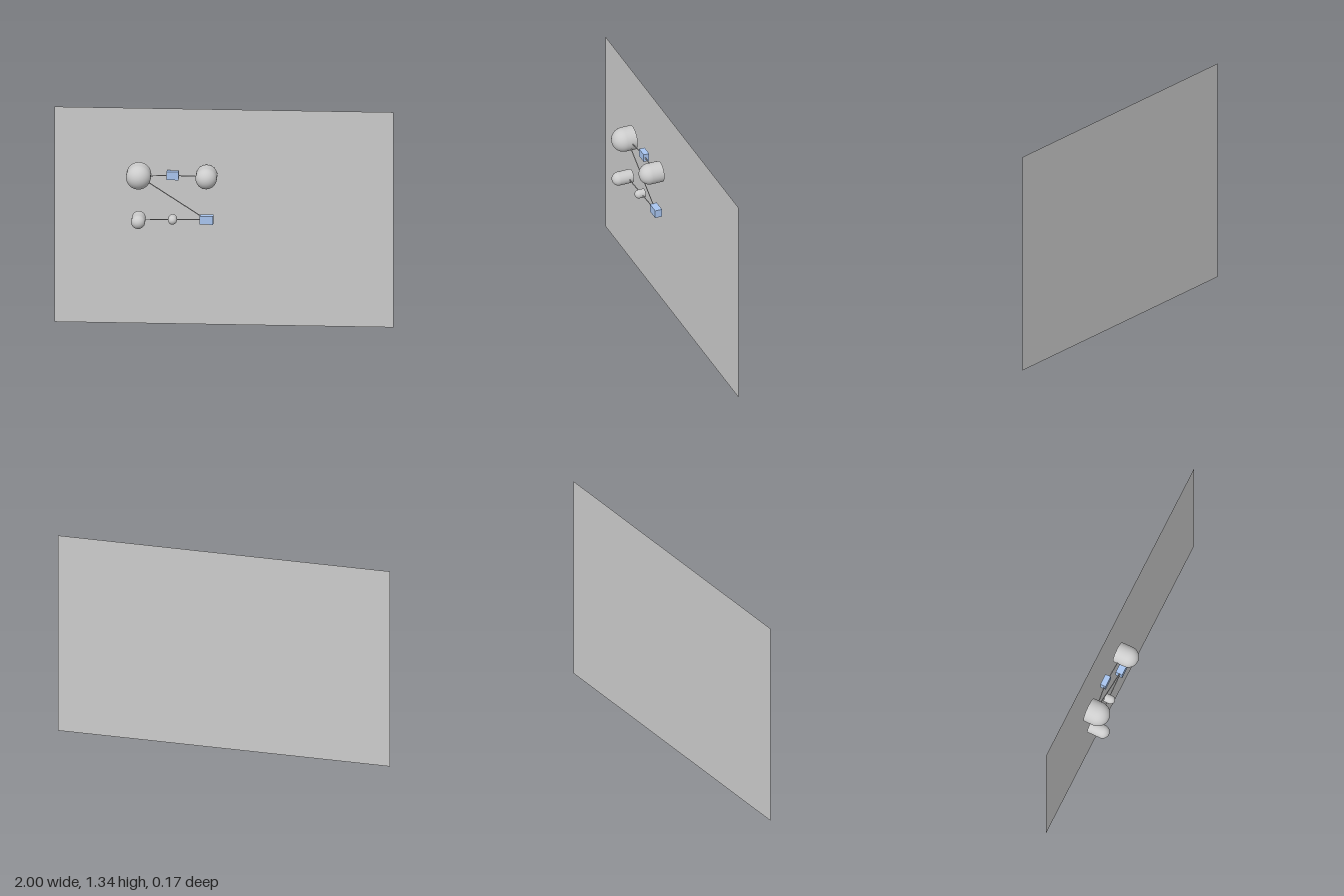
import * as THREE from 'three';

const grey = new THREE.MeshStandardMaterial({ color: 0xcccccc });
const blue = new THREE.MeshStandardMaterial({ color: 0xa9c6f0 });
const sheet = new THREE.MeshStandardMaterial({ color: 0xcccccc, side: THREE.DoubleSide });

// Round-nosed peg pointing forward, flat at the back
function peg(name, x, y, r, back, front) {
  const profile = [new THREE.Vector2(0, back), new THREE.Vector2(r, back)];
  for (let i = 0; i <= 16; i++) {
    const a = (i / 16) * Math.PI / 2;
    profile.push(new THREE.Vector2(i === 16 ? 0 : r * Math.cos(a), front - r + r * Math.sin(a)));
  }
  // Separate cap and body keep the rear rim sharp
  const group = new THREE.Group();
  group.name = name;
  for (const pts of [profile.slice(0, 2), profile.slice(1)]) {
    const mesh = new THREE.Mesh(new THREE.LatheGeometry(pts, 40), grey);
    mesh.name = pts.length === 2 ? 'pegBack' : 'pegBody';
    mesh.rotation.x = Math.PI / 2;
    group.add(mesh);
  }
  group.position.set(x, y, 0);
  return group;
}

// Small blue block
function block(name, x, y, w, h, back, front) {
  const mesh = new THREE.Mesh(new THREE.BoxGeometry(w, h, front - back), blue);
  mesh.name = name;
  mesh.position.set(x, y, (back + front) / 2);
  return mesh;
}

// Thin straight rod between two points
function rod(a, b) {
  const dir = b.clone().sub(a);
  const mesh = new THREE.Mesh(new THREE.CylinderGeometry(0.003, 0.003, dir.length(), 8), grey);
  mesh.name = 'connectingRod';
  mesh.position.copy(a).add(b).multiplyScalar(0.5);
  mesh.quaternion.setFromUnitVectors(new THREE.Vector3(0, 1, 0), dir.normalize());
  return mesh;
}

export function createModel() {
  const model = new THREE.Group();
  model.name = 'wallDiagram';

  // Backing panel
  const panel = new THREE.Mesh(new THREE.PlaneGeometry(2, 1.335), sheet);
  panel.name = 'backPanel';
  panel.position.set(0, 0.6675, -0.085);
  model.add(panel);

  // Pegs and blocks
  model.add(
    peg('largePeg', -0.5, 0.938, 0.073, -0.048, 0.085),
    peg('mediumPeg', -0.1, 0.938, 0.063, -0.053, 0.081),
    peg('smallPeg', -0.5, 0.67, 0.041, -0.038, 0.085),
    peg('tinyPeg', -0.3, 0.67, 0.026, -0.035, 0.025),
    block('upperBlock', -0.3, 0.938, 0.07, 0.05, -0.052, -0.017),
    block('lowerBlock', -0.1, 0.67, 0.08, 0.05, -0.046, -0.003),
  );

  // Rods linking the pieces in one zigzag chain
  const chain = [
    [-0.1, 0.938, -0.02], [-0.3, 0.938, -0.03], [-0.5, 0.938, -0.01],
    [-0.1, 0.67, -0.022], [-0.3, 0.67, -0.015], [-0.5, 0.67, -0.01],
  ].map((p) => new THREE.Vector3(...p));
  for (let i = 1; i < chain.length; i++) model.add(rod(chain[i - 1], chain[i]));

  return model;
}
